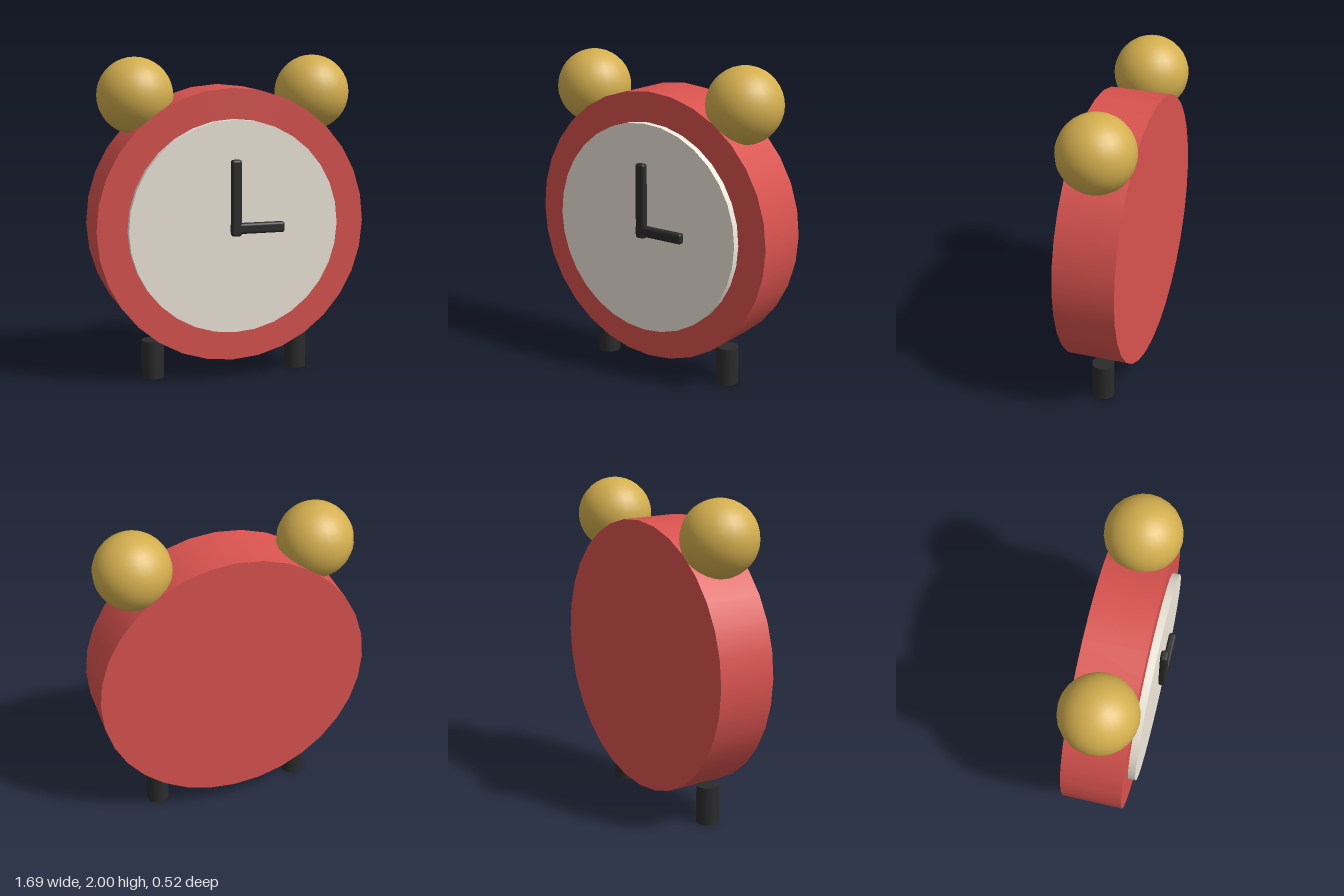
import * as THREE from 'three';
import { RoundedBoxGeometry } from 'three/addons/geometries/RoundedBoxGeometry.js';

export function createModel() {
  const model = new THREE.Group();
  model.name = 'alarmClock';

  const red = new THREE.MeshStandardMaterial({ color: 0xd9534f });
  const cream = new THREE.MeshStandardMaterial({ color: 0xf0e9dc });
  const gold = new THREE.MeshStandardMaterial({ color: 0xd4af4f });
  const black = new THREE.MeshStandardMaterial({ color: 0x2b2b2b });

  const add = (name, geometry, material, x, y, z) => {
    const mesh = new THREE.Mesh(geometry, material);
    mesh.name = name;
    mesh.position.set(x, y, z);
    model.add(mesh);
  };

  // Disc with its axis along z, spanning z0 to z1
  const centreY = 0.97;
  const addDisc = (name, radius, z0, z1, material) => {
    const disc = new THREE.CylinderGeometry(radius, radius, z1 - z0, 32).rotateX(Math.PI / 2);
    add(name, disc, material, 0, centreY, (z0 + z1) / 2);
  };
  addDisc('body', 0.845, -0.21, 0.165, red);
  addDisc('dial', 0.658, 0.1, 0.21, cream);

  // Hands, both starting at the dial centre
  const handZ = 0.237;
  add('minuteHand', new RoundedBoxGeometry(0.066, 0.468, 0.047, 2, 0.016), black, 0, 1.154, handZ);
  add('hourHand', new RoundedBoxGeometry(0.34, 0.066, 0.047, 2, 0.016), black, 0.135, 0.967, handZ);

  // Bells and feet, mirrored left and right
  for (const [side, s] of [['left', 1], ['right', -1]]) {
    add(side + 'Bell', new THREE.SphereGeometry(0.233, 24, 18), gold, s * 0.565, 1.767, -0.023);
    add(side + 'Foot', new THREE.CylinderGeometry(0.07, 0.07, 0.238, 24), black, s * 0.47, 0.119, -0.023);
  }

  return model;
}
